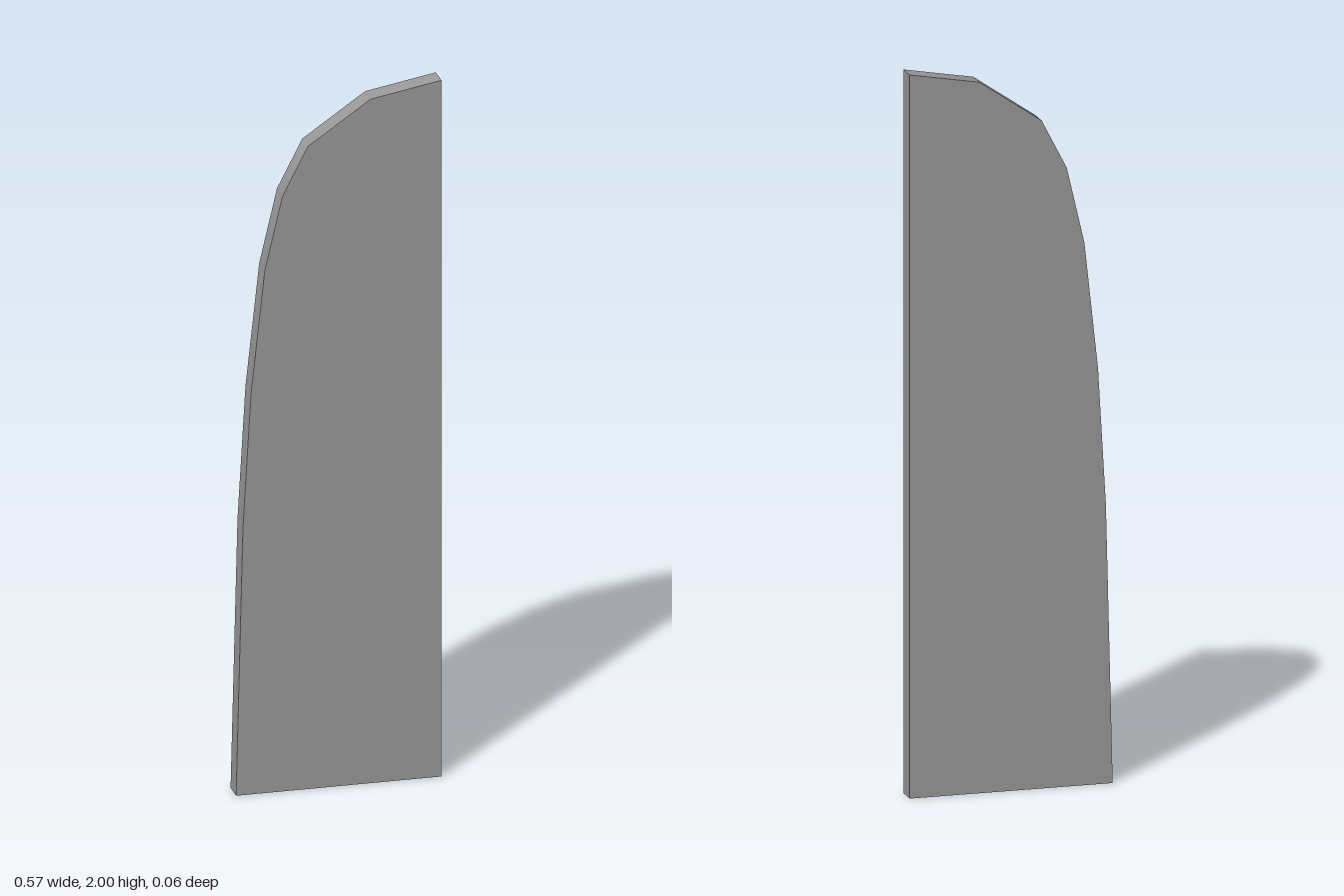
import * as THREE from 'three';
import { toCreasedNormals } from 'three/addons/utils/BufferGeometryUtils.js';

const THICKNESS = 0.06;

// Outline: straight vertical edge on +x, curved edge sweeping up from -x
const OUTLINE = [
  [0.283, 0], [0.283, 2], [0.088, 1.965], [-0.085, 1.846], [-0.155, 1.71],
  [-0.204, 1.5], [-0.242, 1.15], [-0.264, 0.77], [-0.283, 0],
];

export function createModel() {
  const group = new THREE.Group();
  group.name = 'curvedPanel';

  // Flat slab, with the curved rim shaded smoothly and its corners kept sharp
  const shape = new THREE.Shape(OUTLINE.map(([x, y]) => new THREE.Vector2(x, y)));
  const slab = new THREE.ExtrudeGeometry(shape, { depth: THICKNESS, bevelEnabled: false });
  slab.translate(0, 0, -THICKNESS / 2);

  const panel = new THREE.Mesh(
    toCreasedNormals(slab, THREE.MathUtils.degToRad(35)),
    new THREE.MeshStandardMaterial({ color: 0x9a9a9a }),
  );
  panel.name = 'panel';
  group.add(panel);
  return group;
}
